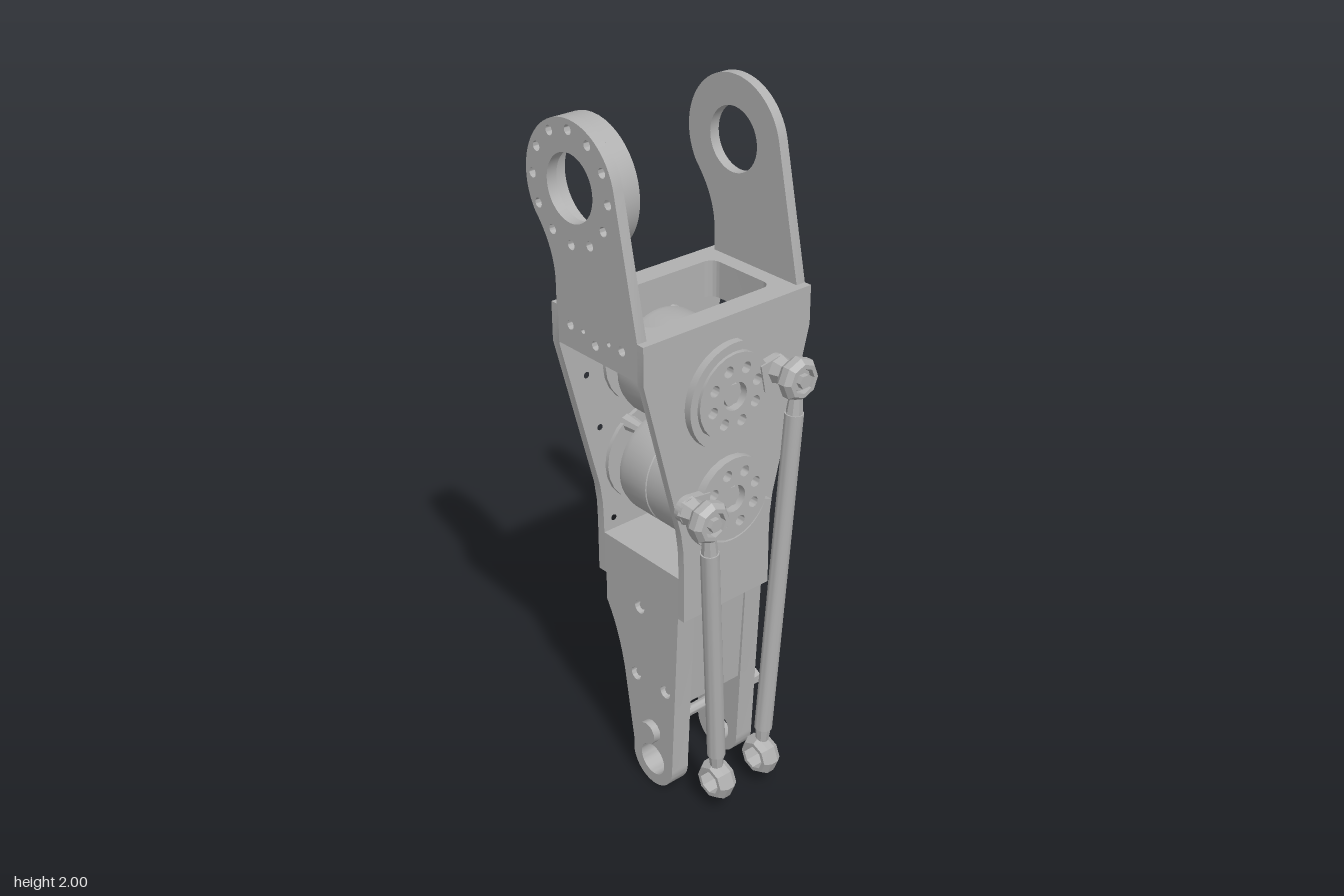
import * as THREE from 'three';
import { toCreasedNormals } from 'three/addons/utils/BufferGeometryUtils.js';

const grey = new THREE.MeshStandardMaterial({ color: 0xb0b0b0 });
grey.name = 'machined grey';
const V = (x, y, z) => new THREE.Vector3(x, y, z);

function add(parent, name, geo) {
  const m = new THREE.Mesh(geo, grey);
  m.name = name;
  parent.add(m);
  return m;
}

function hole(shape, x, y, r) {
  shape.holes.push(new THREE.Path().absarc(x, y, r, 0, Math.PI * 2, true));
}

function poly(points) {
  return new THREE.Shape(points.map(p => new THREE.Vector2(p[0], p[1])));
}

function disc(x, y, r) {
  return new THREE.Shape().absarc(x, y, r, 0, Math.PI * 2, false);
}

// Extrude along an axis from position a to b; x plates use -z as shape x
function plate(shape, axis, a, b, segs = 12) {
  const g = new THREE.ExtrudeGeometry(shape, { depth: b - a, bevelEnabled: false, curveSegments: segs });
  g.translate(0, 0, a);
  if (axis === 'x') g.rotateY(Math.PI / 2);
  if (axis === 'y') g.rotateX(-Math.PI / 2);
  return toCreasedNormals(g, 0.6);
}

// Place a y-aligned geometry between two points
function aim(geo, a, b) {
  const q = new THREE.Quaternion().setFromUnitVectors(V(0, 1, 0), b.clone().sub(a).normalize());
  const mid = a.clone().add(b).multiplyScalar(0.5);
  return geo.applyQuaternion(q).translate(mid.x, mid.y, mid.z);
}

function bar(parent, name, a, b, r0, r1 = r0, segs = 20) {
  return add(parent, name, toCreasedNormals(aim(new THREE.CylinderGeometry(r1, r0, a.distanceTo(b), segs), a, b), 0.7));
}

// Faceted bearing eye
function eye(parent, name, c, axis, w) {
  const prof = [[0.036, -w], [0.048, -w], [0.06, -w * 0.4], [0.06, w * 0.4], [0.048, w], [0.036, w], [0.036, -w]];
  let g = new THREE.LatheGeometry(prof.map(p => new THREE.Vector2(...p)), 8).toNonIndexed();
  g.computeVertexNormals();
  add(parent, name, aim(g, c.clone().sub(axis), c.clone().add(axis)));
}

const RING = { x: -0.115, y: 1.83, r: 0.175 };
function boltCircle(shape) {
  for (let i = 0; i < 12; i++) {
    const a = i * Math.PI / 6;
    hole(shape, RING.x + 0.148 * Math.cos(a), RING.y + 0.148 * Math.sin(a), 0.013);
  }
}

// Upper lug outline with bearing hole
function lugShape() {
  const s = new THREE.Shape();
  s.moveTo(-0.18, 1.395);
  s.lineTo(0.135, 1.395);
  s.lineTo(0.135, 1.5);
  s.absarc(RING.x, RING.y, RING.r, 0.21, 3.74, false);
  s.quadraticCurveTo(-0.185, 1.65, -0.185, 1.56);
  s.lineTo(-0.185, 1.5);
  s.lineTo(-0.18, 1.5);
  hole(s, RING.x, RING.y, 0.09);
  [-0.13, -0.03, 0.075].forEach((x, i) => hole(s, x, i === 1 ? 1.437 : 1.46, 0.013));
  [-0.078, 0.024].forEach(x => hole(s, x, 1.46, 0.007));
  return s;
}

// Lower leg cheek outline
function legShape() {
  const s = new THREE.Shape();
  s.moveTo(-0.175, 0.636);
  s.lineTo(-0.175, 0.545);
  s.bezierCurveTo(-0.14, 0.49, -0.115, 0.42, -0.1, 0.34);
  s.lineTo(-0.065, 0.12);
  s.absarc(0.02, 0.085, 0.085, 2.9, Math.PI * 2 + 0.06, false);
  s.lineTo(0.133, 0.636);
  hole(s, 0.02, 0.085, 0.05);
  return s;
}

function sideShape() {
  const half = [[0.285, 1.5], [0.285, 1.39], [0.165, 0.92], [0.157, 0.86], [0.155, 0.8], [0.155, 0.635]];
  return poly([...half, ...half.map(([z, y]) => [-z, y]).reverse()]);
}

function motor(parent, y, jy, jz) {
  const g = new THREE.Group();
  g.name = 'motor';
  parent.add(g);
  // Drum with bevelled rim and shallow groove
  const prof = [[0, -0.125], [0.125, -0.125], [0.145, -0.118], [0.15, -0.1], [0.15, -0.005], [0.147, -0.003],
    [0.147, 0.003], [0.15, 0.005], [0.15, 0.134], [0, 0.134]].map(p => new THREE.Vector2(...p));
  const drum = new THREE.LatheGeometry(prof, 40).rotateZ(-Math.PI / 2).translate(0, y, 0);
  add(g, 'drum', toCreasedNormals(drum, 0.4));
  // Mounting foot blocks and thin flange on the left wall
  const flange = disc(0, y, 0.145);
  hole(flange, 0, y, 0.125);
  add(g, 'flange', plate(flange, 'x', -0.18, -0.168));
  for (const a of [0, 2.6, 3.68]) {
    const py = y - 0.128 * Math.cos(a), pz = 0.128 * Math.sin(a);
    bar(g, 'standoff', V(-0.18, py, pz), V(-0.11, py, pz), 0.024, 0.016, 8);
  }
  // Output hub with screw holes and outer arc guard
  const hub = disc(0, y, 0.122);
  hole(hub, 0, y, 0.04);
  for (let i = 0; i < 8; i++) hole(hub, 0.08 * Math.cos(i * Math.PI / 4 + 0.3), y + 0.08 * Math.sin(i * Math.PI / 4 + 0.3), 0.016);
  add(g, 'outputHub', plate(hub, 'x', 0.155, 0.182));
  bar(g, 'hubCap', V(0.15, y, 0), V(0.17, y, 0), 0.032, 0.032, 6);
  const arc = new THREE.Shape();
  const a0 = jz < 0 ? 1.4 : 3.3;
  arc.absarc(0, y, 0.152, a0, a0 + 2.6, false);
  arc.absarc(0, y, 0.128, a0 + 2.6, a0, true);
  add(g, 'guardArc', plate(arc, 'x', 0.155, 0.18));
  // Crank arm out to the push rod
  const dir = new THREE.Vector2(-jz, jy - y), len = dir.length(), ang = dir.angle();
  const arm = new THREE.Shape();
  arm.absarc(-jz, jy, 0.038, ang - Math.PI / 2, ang + Math.PI / 2, false);
  const k = 0.095 / len;
  const n = new THREE.Vector2(-dir.y, dir.x).multiplyScalar(0.04 / len);
  arm.lineTo(dir.x * k + n.x, y + dir.y * k + n.y);
  arm.lineTo(dir.x * k - n.x, y + dir.y * k - n.y);
  add(g, 'crankArm', plate(arm, 'x', 0.163, 0.187));
}

function pushRod(parent, top, bottom) {
  const g = new THREE.Group();
  g.name = 'pushRod';
  parent.add(g);
  const d = bottom.clone().sub(top).normalize();
  const at = (p, s) => p.clone().addScaledVector(d, s);
  bar(g, 'rodTube', at(top, 0.1), at(bottom, -0.095), 0.026);
  bar(g, 'upperNeck', at(top, 0.045), at(top, 0.11), 0.018, 0.024, 8);
  bar(g, 'lowerNeck', at(bottom, -0.11), at(bottom, -0.045), 0.024, 0.018, 8);
  eye(g, 'upperEye', top, V(1, 0, 0), 0.026);
  eye(g, 'lowerEye', bottom, V(0, 0, 1), 0.03);
  // Joint bolt and spacer on the crank
  bar(g, 'spacer', V(0.18, top.y, top.z), V(0.235, top.y, top.z), 0.042, 0.026, 7);
  bar(g, 'jointBall', V(0.225, top.y, top.z), V(0.27, top.y, top.z), 0.037, 0.03, 10);
  bar(g, 'jointNut', V(0.265, top.y, top.z), V(0.285, top.y, top.z), 0.02, 0.02, 6);
}

export function createModel() {
  const root = new THREE.Group();
  root.name = 'legMechanism';
  const housing = new THREE.Group();
  housing.name = 'housing';
  root.add(housing);

  // Side plates
  const right = sideShape();
  for (const [z, y, r] of [[0.155, 1.437, 0.02], [0, 1.46, 0.02], [-0.155, 1.437, 0.02], [0.035, 0.68, 0.018], [-0.035, 0.68, 0.018],
    [0.095, 0.72, 0.018], [-0.095, 0.72, 0.018], [0.065, 1.44, 0.008], [-0.065, 1.44, 0.008]]) hole(right, -z, y, r);
  add(housing, 'rightPlate', plate(right, 'x', 0.135, 0.158));
  const left = sideShape();
  for (const s of [-1, 1]) {
    for (const [z, y] of [[0.22, 1.44], [0.08, 1.45], [0.2, 1.27], [0.16, 1.1], [0.13, 0.95], [0.12, 0.8], [0.11, 0.69], [0.04, 0.69]]) hole(left, s * z, y, 0.009);
  }
  add(housing, 'leftPlate', plate(left, 'x', -0.207, -0.18));

  // Top frame with rounded opening, and bottom block
  const frame = poly([[-0.18, -0.255], [0.135, -0.255], [0.135, 0.255], [-0.18, 0.255]]);
  const win = new THREE.Path();
  win.absarc(0.06, 0.177, 0.03, 0, Math.PI / 2, false);
  win.absarc(-0.11, 0.177, 0.03, Math.PI / 2, Math.PI, false);
  win.absarc(-0.11, -0.177, 0.03, Math.PI, Math.PI * 1.5, false);
  win.absarc(0.06, -0.177, 0.03, Math.PI * 1.5, Math.PI * 2, false);
  frame.holes.push(win);
  add(housing, 'topFrame', plate(frame, 'y', 1.395, 1.5));
  add(housing, 'bottomBlock', new THREE.BoxGeometry(0.315, 0.13, 0.31).translate(-0.0225, 0.7, 0));

  // Upper lugs: front with bearing boss, back plain
  const front = lugShape();
  boltCircle(front);
  add(root, 'frontLug', plate(front, 'z', 0.255, 0.285, 24));
  const boss = disc(RING.x, RING.y, RING.r);
  hole(boss, RING.x, RING.y, 0.118);
  boltCircle(boss);
  add(root, 'bearingBoss', plate(boss, 'z', 0.207, 0.255, 24));
  add(root, 'backLug', plate(lugShape(), 'z', -0.285, -0.255, 24));

  // Motors and push rods
  motor(root, 1.28, 1.31, -0.15);
  motor(root, 0.975, 1.0, 0.155);
  pushRod(root, V(0.255, 1.31, -0.15), V(0.22, 0.1, -0.085));
  pushRod(root, V(0.255, 1.0, 0.155), V(0.22, 0.1, 0.085));

  // Lower leg: two cheeks with recessed screws, and a core between them
  const leg = new THREE.Group();
  leg.name = 'lowerLeg';
  root.add(leg);
  const screws = [[-0.03, 0.59], [-0.05, 0.352], [0.077, 0.356]];
  for (const s of [-1, 1]) {
    const cheek = legShape();
    screws.forEach(([x, y]) => hole(cheek, x, y, 0.02));
    add(leg, 'cheek', plate(cheek, 'z', s > 0 ? 0.095 : -0.155, s > 0 ? 0.155 : -0.095, 20));
    screws.forEach(([x, y]) => bar(leg, 'screw', V(x, y, s * 0.09), V(x, y, s * 0.145), 0.012, 0.012, 8));
  }
  const core = poly([[-0.09, 0.31], [0.108, 0.31], [0.127, 0.636], [-0.17, 0.636], [-0.17, 0.545], [-0.13, 0.47], [-0.107, 0.4]]);
  add(leg, 'core', plate(core, 'z', -0.095, 0.095));

  // Cross pin with head and end nuts
  bar(leg, 'crossPin', V(0.02, 0.19, -0.245), V(0.02, 0.19, 0.17), 0.016);
  bar(leg, 'pinHead', V(0.02, 0.19, 0.15), V(0.02, 0.19, 0.178), 0.035, 0.035, 10);
  bar(leg, 'pinNut', V(0.02, 0.19, -0.205), V(0.02, 0.19, -0.185), 0.024, 0.024, 6);
  bar(leg, 'pinTip', V(0.02, 0.19, -0.25), V(0.02, 0.19, -0.225), 0.024, 0.024, 6);
  return root;
}
